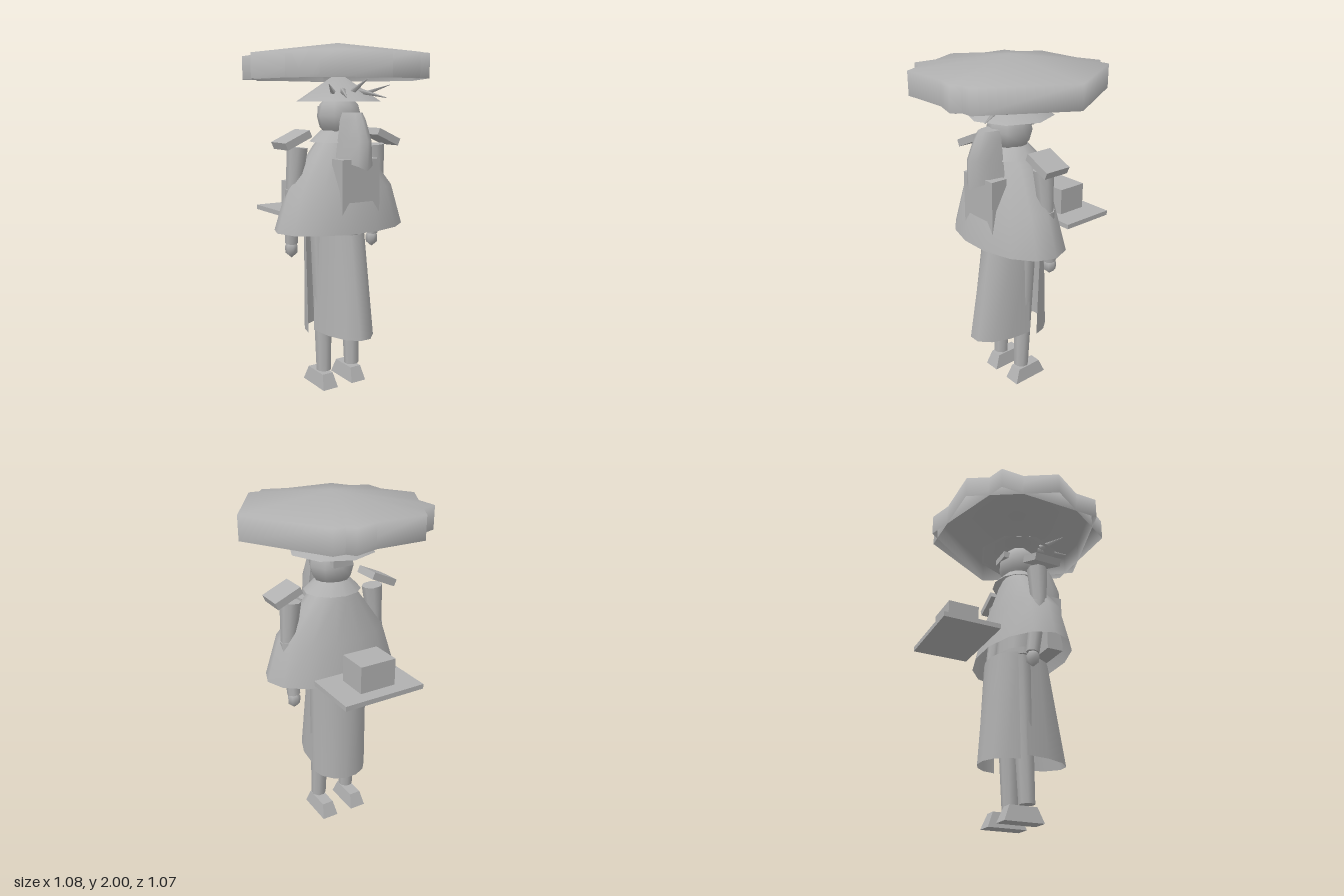
import * as THREE from 'three';
import { mergeVertices } from 'three/addons/utils/BufferGeometryUtils.js';

const grey = new THREE.MeshStandardMaterial({ color: 0xb0b0b0, side: THREE.DoubleSide });

// Smooth skin through rings [y, rx, rz, cz], listed from top to bottom; the arc starts at +x and turns to +z
function loft(rings, seg, start = 0, sweep = Math.PI * 2) {
  const pos = [], idx = [], n = seg + 1;
  for (const [y, rx, rz, cz = 0.02] of rings) {
    for (let j = 0; j <= seg; j++) {
      const a = start + (sweep * j) / seg;
      pos.push(rx * Math.cos(a), y, cz + rz * Math.sin(a));
    }
  }
  for (let i = 0; i < rings.length - 1; i++) {
    for (let j = 0; j < seg; j++) {
      const u = i * n + j, l = u + n;
      idx.push(l, u, l + 1, u, u + 1, l + 1);
    }
  }
  let g = new THREE.BufferGeometry();
  g.setAttribute('position', new THREE.Float32BufferAttribute(pos, 3));
  g.setIndex(idx);
  g = mergeVertices(g, 1e-4);
  g.computeVertexNormals();
  return g;
}

// Tapered cylinder between two points
function limb(a, b, ra, rb, seg = 8) {
  const from = new THREE.Vector3(...a), to = new THREE.Vector3(...b);
  const dir = to.clone().sub(from);
  const g = new THREE.CylinderGeometry(rb, ra, dir.length(), seg);
  g.applyQuaternion(new THREE.Quaternion().setFromUnitVectors(new THREE.Vector3(0, 1, 0), dir.normalize()));
  return g.translate(...from.add(to).multiplyScalar(0.5).toArray());
}

export function createModel() {
  const model = new THREE.Group();
  const add = (name, geometry, x = 0, y = 0, z = 0) => {
    const mesh = new THREE.Mesh(geometry, grey);
    mesh.name = name;
    mesh.position.set(x, y, z);
    model.add(mesh);
    return mesh;
  };
  const box = (name, w, h, d, x, y, z) => add(name, new THREE.BoxGeometry(w, h, d), x, y, z);

  // Wide hat: a six-sided and a five-sided canopy sharing one apex
  for (const sides of [6, 5]) {
    add('hatCanopy' + sides, loft([[2, 0, 0], [1.93, 0.54, 0.54], [1.8, 0.54, 0.54]], sides));
  }
  add('innerHat', loft([[1.84, 0, 0, 0.024], [1.68, 0.243, 0.243, 0.024]], 8));

  // Hair pins
  add('hairPinMiddle', limb([0, 1.72, 0.14], [0, 1.8, 0.31], 0.022, 0.002, 4));
  for (const s of [-1, 1]) {
    add('hairPinUpper', limb([s * 0.1, 1.72, 0.13], [s * 0.2, 1.77, 0.24], 0.018, 0.002, 4));
    add('hairPinLower', limb([s * 0.05, 1.74, 0.14], [s * 0.13, 1.7, 0.3], 0.018, 0.002, 4));
  }

  // Head, neck and collar
  add('head', new THREE.SphereGeometry(0.128, 8, 6), 0, 1.6, 0.03);
  box('faceBar', 0.12, 0.04, 0.04, 0, 1.632, -0.08);
  add('neck', loft([[1.55, 0.07, 0.07, 0.03], [1.4, 0.09, 0.08, 0.03]], 8));
  const collar = loft([[1.52, 0.1, 0.09], [1.455, 0.165, 0.15]], 12);
  const p = collar.attributes.position;
  for (let i = 0; i < p.count; i++) {
    if (p.getY(i) < 1.48 && i % 2) p.setY(i, 1.435);
  }
  collar.computeVertexNormals();
  add('collar', collar);

  // Hanging hair hood with a pointed lower edge
  const hood = loft([
    [1.62, 0.05, 0.1, 0.14], [1.58, 0.065, 0.125, 0.14],
    [1.47, 0.08, 0.175, 0.14], [1.34, 0.095, 0.175, 0.14],
  ], 6, 0, Math.PI);
  const hp = hood.attributes.position;
  for (let i = 0; i < hp.count; i++) {
    if (hp.getY(i) < 1.35) hp.setY(i, 1.31 + 0.5 * Math.abs(hp.getX(i)));
  }
  hood.computeVertexNormals();
  add('hairHood', hood);
  add('hairHoodTop', loft([[1.62, 0, 0, 0.14], [1.62, 0.05, 0.1, 0.14]], 6, 0, Math.PI));

  // Cloak, with a flat panel laid against it
  add('cloak', loft([
    [1.49, 0.1, 0.09], [1.43, 0.155, 0.115], [1.2, 0.335, 0.205, 0.043], [0.965, 0.41, 0.252, 0.04],
  ], 14));
  box('cloakPanel', 0.25, 0.35, 0.1, 0, 1.195, 0.205);

  // Torso, belt and split skirt
  add('torso', loft([[1.42, 0.13, 0.09], [0.97, 0.16, 0.11, 0.01]], 8));
  add('belt', new THREE.CylinderGeometry(0.18, 0.18, 0.04, 10).scale(1, 1, 0.68), 0, 0.95, 0.008);
  add('skirtFront', loft([[0.94, 0.14, 0.21, 0], [0.35, 0.155, 0.315, 0]], 7, 0, Math.PI));
  add('skirtBack', loft([[0.93, 0.17, 0.11, -0.06], [0.32, 0.165, 0.165, -0.045]], 7, Math.PI, Math.PI));

  for (const s of [-1, 1]) {
    // Shoulder plates
    box('shoulderPlate', 0.165, 0.042, 0.16, s * 0.305, 1.475, 0.025).rotation.z = -s * 0.42;

    // Arms and hands
    add('upperArm', limb([s * 0.265, 1.43, 0.015], [s * 0.29, 1.16, 0.01], 0.06, 0.04));
    add('forearm', limb([s * 0.29, 1.2, 0.01], [s * 0.283, 0.885, -0.03], 0.045, 0.037));
    add('hand', loft([[0.885, 0.025, 0.025, -0.03], [0.87, 0.037, 0.037, -0.03],
      [0.83, 0.035, 0.035, -0.03], [0.8, 0, 0, -0.03]], 7), s * 0.283);

    // Legs
    add('leg', limb([s * 0.095, 0.94, -0.01], [s * 0.1, 0.1, 0.022], 0.065, 0.045));

    // Wedge shoes, narrower at the top
    const shoe = new THREE.BoxGeometry(0.1, 0.085, 0.23).toNonIndexed();
    const sp = shoe.attributes.position;
    for (let i = 0; i < sp.count; i++) {
      if (sp.getY(i) > 0) sp.setXYZ(i, sp.getX(i) * 0.7, sp.getY(i), sp.getZ(i) * 0.7);
    }
    shoe.computeVertexNormals();
    add('shoe', shoe, s * 0.1, 0.0425, -0.015);
  }

  // Tray and the box resting on it
  box('tray', 0.49, 0.028, 0.33, 0, 1.022, -0.37);
  box('trayBox', 0.215, 0.155, 0.18, 0, 1.113, -0.37);

  return model;
}
